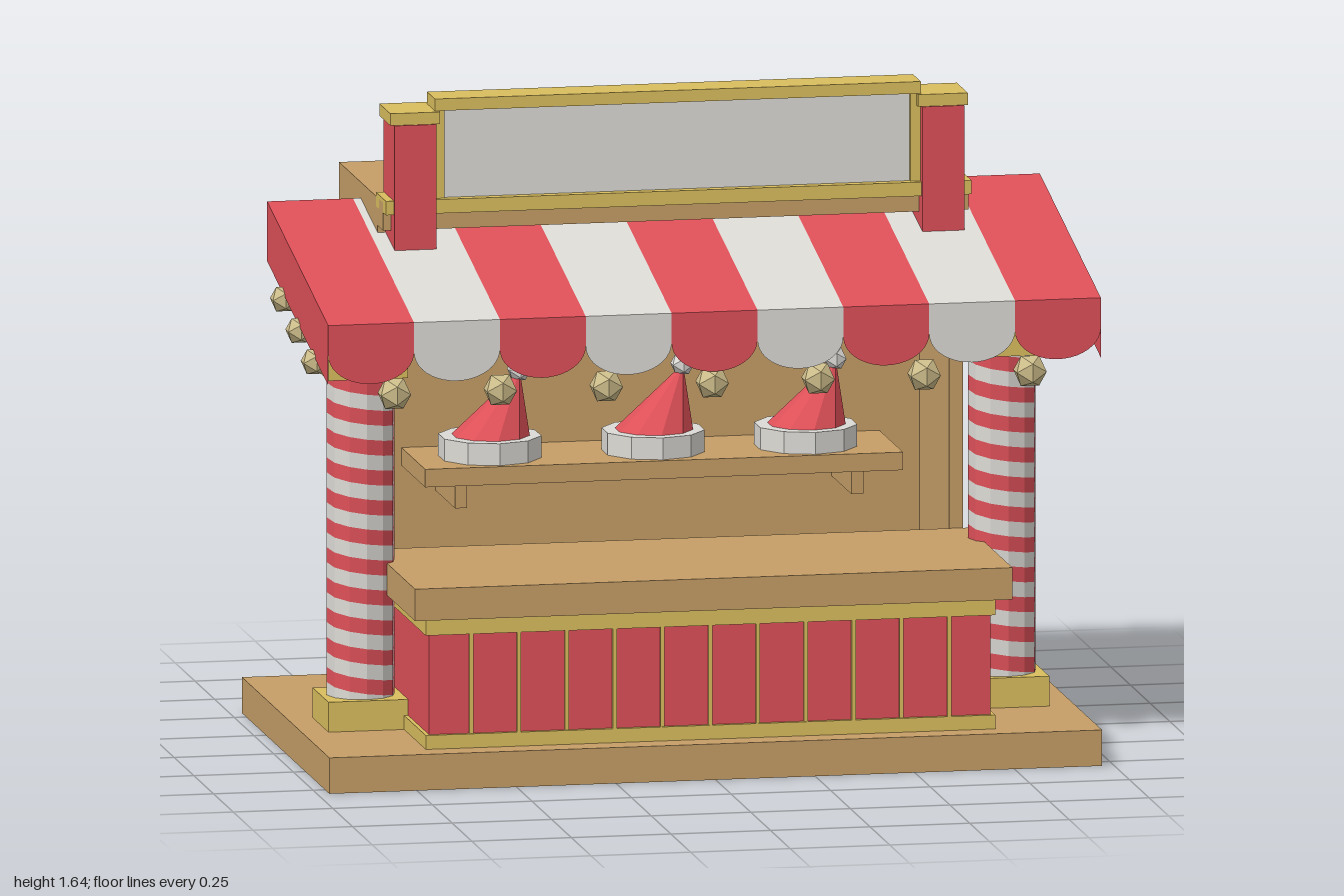
import * as THREE from 'three';

const mat = (name, color, side = THREE.FrontSide) => {
  const m = new THREE.MeshStandardMaterial({ color, side });
  m.name = name;
  m.flatShading = true;
  return m;
};

export function createModel() {
  const wood = mat('wood', 0xc59e67);
  const gold = mat('gold', 0xd9bd5e);
  const red = mat('red', 0xde5058, THREE.DoubleSide);
  const white = mat('white', 0xdcdad5, THREE.DoubleSide);
  const bulbMat = mat('bulb', 0xcdbd8a);

  const root = new THREE.Group();
  root.name = 'stall';

  const add = (name, geo, material, parent = root) => {
    const m = new THREE.Mesh(geo, material);
    m.name = name;
    parent.add(m);
    return m;
  };
  // Box given by its extents on each axis
  const box = (name, material, x0, x1, y0, y1, z0, z1, parent = root) => {
    const m = add(name, new THREE.BoxGeometry(x1 - x0, y1 - y0, z1 - z0), material, parent);
    m.position.set((x0 + x1) / 2, (y0 + y1) / 2, (z0 + z1) / 2);
    return m;
  };
  // Flat-shaded faces from a list of quads, corners counter-clockwise
  const quads = (list) => {
    const pos = [];
    for (const [a, b, c, d] of list) pos.push(...a, ...b, ...c, ...a, ...c, ...d);
    const g = new THREE.BufferGeometry();
    g.setAttribute('position', new THREE.Float32BufferAttribute(pos, 3));
    g.computeVertexNormals();
    return g;
  };

  // Base and hollow booth
  box('base', wood, -0.97, 0.97, 0, 0.09, -0.555, 0.555);
  box('backWall', wood, -0.735, 0.735, 0.09, 1.31, -0.51, -0.4);
  for (const s of [-1, 1]) {
    const w = box('sideWall', wood, -0.0175, 0.0175, 0.09, 1.31, -0.4, -0.02);
    w.position.x = s * 0.7175;
  }
  box('roof', wood, -0.735, 0.735, 1.31, 1.38, -0.51, 0.05);

  // Counter with trims and panel strips
  box('counterBody', red, -0.705, 0.705, 0.125, 0.375, -0.01, 0.48);
  box('counterLowerTrim', gold, -0.715, 0.715, 0.09, 0.125, -0.015, 0.49);
  box('counterUpperTrim', gold, -0.715, 0.715, 0.375, 0.42, -0.015, 0.49);
  box('counterTop', wood, -0.75, 0.75, 0.42, 0.5, -0.02, 0.53);
  for (let i = -5; i <= 5; i++) {
    box('panelStrip', gold, i * 0.12 - 0.005, i * 0.12 + 0.005, 0.125, 0.375, 0.48, 0.487);
  }

  // Striped columns: each band drops slowly round the shaft and steps back at the seam
  const Y0 = 0.16, Y1 = 0.975, R = 0.085, SIDES = 12, PERIOD = 0.075;
  const clampY = (y) => Math.min(Y1, Math.max(Y0, y));
  const bands = (phase) => {
    const list = [];
    for (let k = 0; k < SIDES; k++) {
      const a = (k / SIDES) * Math.PI * 2, b = ((k + 1) / SIDES) * Math.PI * 2;
      // angle runs from +x towards -z
      const pt = (t, y) => [R * Math.cos(t), clampY(y), -R * Math.sin(t)];
      const ha = -(k / SIDES) * PERIOD;
      const hb = -(((k + 1) % SIDES) / SIDES) * PERIOD;
      for (let n = 0; n < 14; n++) {
        const y = Y0 - PERIOD + n * PERIOD + phase, h = PERIOD / 2;
        if (Math.max(y + ha, y + hb) + h <= Y0 || Math.min(y + ha, y + hb) >= Y1) continue;
        list.push([pt(a, y + ha), pt(b, y + hb), pt(b, y + hb + h), pt(a, y + ha + h)]);
      }
    }
    return quads(list);
  };
  const redBands = bands(0), whiteBands = bands(PERIOD / 2);
  for (const s of [-1, 1]) {
    const col = new THREE.Group();
    col.name = 'column';
    col.position.set(s * 0.805, 0, 0.115);
    root.add(col);
    add('redBands', redBands, red, col);
    add('whiteBands', whiteBands, white, col);
    box('columnBase', gold, -0.1, 0.1, 0.09, 0.165, -0.1, 0.1, col);
    box('columnCapital', gold, -0.1, 0.1, 0.97, 1.02, -0.1, 0.1, col);
  }

  // Awning: sloped stripes, scalloped front and side flaps
  const W = 1.94 / 9, ZF = 0.54, ZB = -0.235, YF = 1.17, YB = 1.34, DROP = 0.15;
  for (let i = 0; i < 9; i++) {
    const x0 = -0.97 + i * W, x1 = x0 + W, m = i % 2 ? white : red;
    add('awningStripe', quads([[[x0, YF, ZF], [x1, YF, ZF], [x1, YB, ZB], [x0, YB, ZB]]]), m);
    const s = new THREE.Shape();
    s.moveTo(-W / 2, YF);
    s.lineTo(-W / 2, YF - 0.075);
    s.absellipse(0, YF - 0.075, W / 2, DROP - 0.075, Math.PI, Math.PI * 2, false);
    s.lineTo(W / 2, YF);
    add('awningScallop', new THREE.ShapeGeometry(s, 10), m).position.set(x0 + W / 2, 0, ZF);
  }
  for (const s of [-1, 1]) {
    const x = s * 0.97;
    const q = [[x, YF - DROP, ZF], [x, YB - DROP, ZB], [x, YB, ZB], [x, YF, ZF]];
    add('awningSide', quads([s > 0 ? q : q.reverse()]), red);
  }

  // Bulbs along the awning edges
  const bulb = (x, y, z, r) =>
    add('bulb', new THREE.IcosahedronGeometry(r, 0), bulbMat).position.set(x, y, z);
  for (let i = -3; i <= 3; i++) bulb(i * 0.266, 0.988, 0.51, 0.044);
  for (const s of [-1, 1]) {
    for (let i = 0; i < 3; i++) bulb(s * 0.967, 1.045 + i * 0.043, 0.35 - i * 0.195, 0.036);
  }

  // Sign between two posts
  box('signPanel', white, -0.585, 0.585, 1.38, 1.61, -0.02, 0.06);
  box('signTop', gold, -0.61, 0.61, 1.61, 1.64, -0.025, 0.075);
  box('signBottom', gold, -0.735, 0.735, 1.355, 1.39, -0.04, 0.085);
  for (const s of [-1, 1]) {
    const post = new THREE.Group();
    post.name = 'signPost';
    post.position.x = s * 0.6625;
    root.add(post);
    box('postShaft', red, -0.0525, 0.0525, 1.09, 1.58, -0.045, 0.095, post);
    box('postCap', gold, -0.0625, 0.0625, 1.58, 1.61, -0.05, 0.09, post);
    box('signEdge', gold, -0.0125, 0.0125, 1.38, 1.61, -0.022, 0.07).position.x = s * 0.5975;
  }

  // Shelf with brackets
  box('shelf', wood, -0.6, 0.6, 0.635, 0.68, -0.4, -0.1);
  for (const x of [-0.5, 0.495]) {
    box('shelfBracket', wood, x - 0.015, x + 0.015, 0.57, 0.635, -0.4, -0.15);
  }

  // Leaning party hats
  const cone = new THREE.ConeGeometry(0.1, 0.165, 10);
  const p = cone.attributes.position;
  for (let i = 0; i < p.count; i++) p.setX(i, p.getX(i) + ((p.getY(i) + 0.0825) / 0.165) * 0.075);
  cone.computeVertexNormals();
  for (const x of [-0.41, 0, 0.383]) {
    const hat = new THREE.Group();
    hat.name = 'hat';
    hat.position.set(x, 0.68, -0.24);
    root.add(hat);
    add('hatBrim', new THREE.CylinderGeometry(0.128, 0.128, 0.055, 10), white, hat).position.y = 0.0275;
    add('hatCone', cone, red, hat).position.y = 0.1325;
    add('hatPompom', new THREE.IcosahedronGeometry(0.031, 0), white, hat).position.set(0.073, 0.215, 0);
  }

  return root;
}
